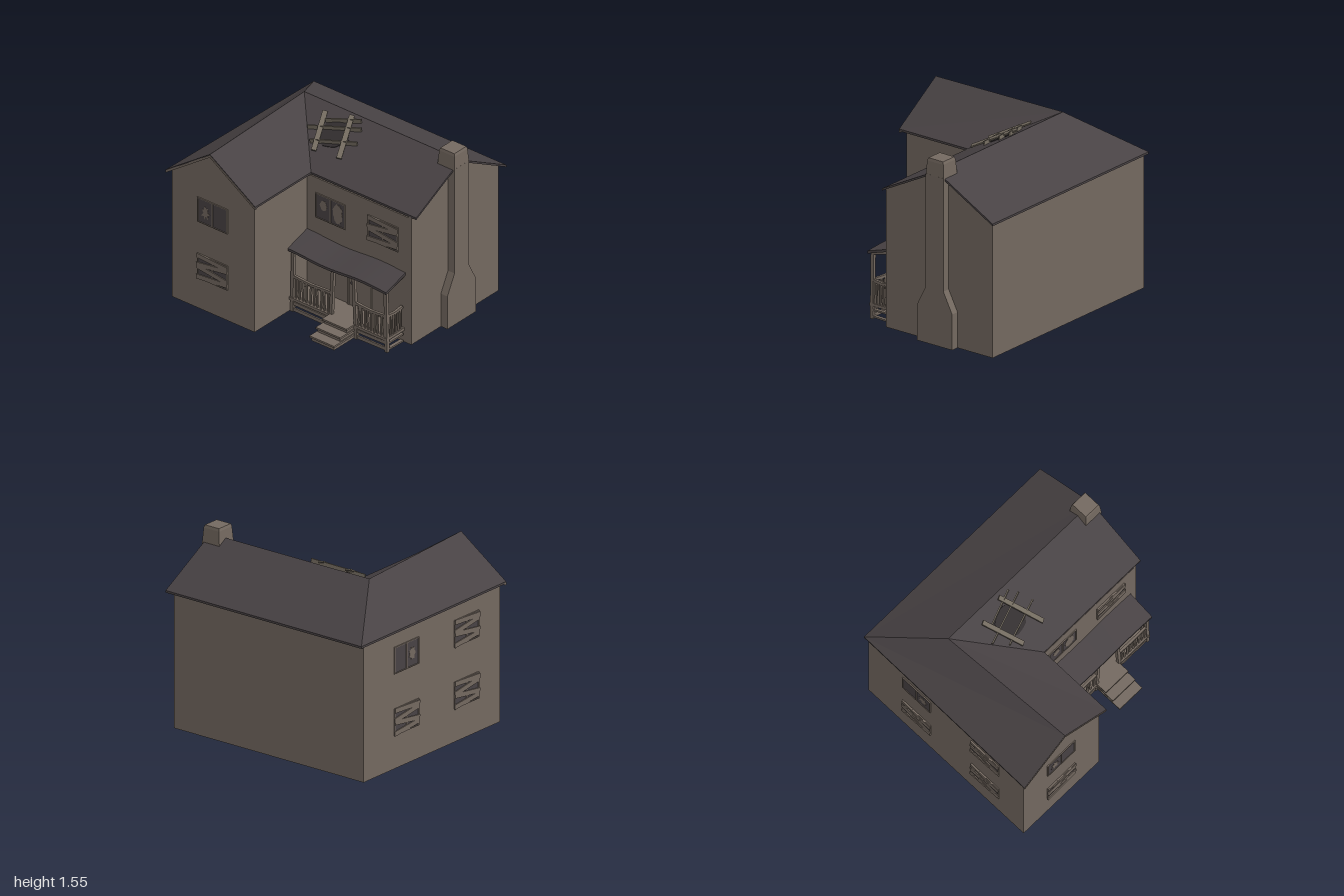
import * as THREE from 'three';

const wall = new THREE.MeshStandardMaterial({ color: 0x746960 });
wall.name = 'weathered brown';
const dark = new THREE.MeshStandardMaterial({ color: 0x484244 });
dark.name = 'dark slate';
const plank = new THREE.MeshStandardMaterial({ color: 0x736b5f });
plank.name = 'plank wood';
const black = new THREE.MeshStandardMaterial({ color: 0x332f30 });
black.name = 'hole black';

let seed = 7;
const rnd = () => (seed = (seed * 16807) % 2147483647) / 2147483647;

function add(parent, name, geo, mat, x = 0, y = 0, z = 0) {
  const m = new THREE.Mesh(geo, mat);
  m.name = name;
  m.position.set(x, y, z);
  parent.add(m);
  return m;
}

// box given by its min and max corners
function box(parent, name, mat, x0, x1, y0, y1, z0, z1) {
  return add(parent, name, new THREE.BoxGeometry(x1 - x0, y1 - y0, z1 - z0), mat,
    (x0 + x1) / 2, (y0 + y1) / 2, (z0 + z1) / 2);
}

// beam between two points
function beam(parent, name, mat, a, b, w, d) {
  const p = new THREE.Vector3(...a), q = new THREE.Vector3(...b);
  const m = add(parent, name, new THREE.BoxGeometry(w, p.distanceTo(q), d), mat);
  m.position.copy(p).add(q).multiplyScalar(0.5);
  m.quaternion.setFromUnitVectors(new THREE.Vector3(0, 1, 0), q.sub(p).normalize());
  return m;
}

// sloping slab: outline counter-clockwise from above, thickened downwards
function slab(parent, name, mat, pts, t) {
  const low = pts.map(([x, y, z]) => [x, y - t, z]);
  const pos = [];
  const tri = (...v) => v.forEach(p => pos.push(...p));
  for (let i = 1; i < pts.length - 1; i++) {
    tri(pts[0], pts[i], pts[i + 1]);
    tri(low[0], low[i + 1], low[i]);
  }
  pts.forEach((p, i) => {
    const j = (i + 1) % pts.length;
    tri(p, low[i], low[j]);
    tri(p, low[j], pts[j]);
  });
  const g = new THREE.BufferGeometry();
  g.setAttribute('position', new THREE.Float32BufferAttribute(pos, 3));
  g.computeVertexNormals();
  return add(parent, name, g, mat);
}

function extrude(points, depth) {
  const s = new THREE.Shape(points.map(p => new THREE.Vector2(...p)));
  return new THREE.ExtrudeGeometry(s, { depth, bevelEnabled: false });
}

// jagged outline used for broken glass and the roof hole
function jagged(rx, ry, n, rough) {
  return Array.from({ length: n }, (_, i) => {
    const a = i / n * Math.PI * 2, r = i % 2 ? 1 - rough * (0.5 + rnd() * 0.5) : 1 - rnd() * 0.2;
    return [Math.cos(a) * rx * r, Math.sin(a) * ry * r];
  });
}

// two-pane window facing +z; breaks = [x, y, rx, ry, points, roughness]
function makeWindow(breaks, boarded) {
  const g = new THREE.Group();
  g.name = boarded ? 'boardedWindow' : 'brokenWindow';
  box(g, 'glass', dark, -0.145, 0.145, -0.105, 0.105, -0.002, 0.004);
  for (const x of [-0.148, 0, 0.148]) box(g, 'frameUpright', wall, x - 0.005, x + 0.005, -0.108, 0.108, 0, 0.009);
  for (const y of [-0.108, 0.108]) box(g, 'frameBar', wall, -0.153, 0.153, y - 0.004, y + 0.004, 0, 0.009);
  for (const [x, y, rx, ry, n, rough] of breaks)
    add(g, 'glassHole', extrude(jagged(rx, ry, n, rough), 0.003), wall, x, y, 0.003);
  if (boarded)
    [[0.088, -0.06], [0.035, 0.14], [-0.022, -0.13], [-0.082, 0.09]].forEach(([y, a], i) => {
      const b = add(g, 'board', new THREE.BoxGeometry(0.31, 0.04, 0.008), wall, i % 2 ? -0.003 : 0.003, y, 0.011);
      b.rotation.z = a;
    });
  return g;
}

function place(parent, win, x, y, z, turn = 0) {
  win.position.set(x, y, z);
  win.rotation.y = turn;
  parent.add(win);
}

// porch roof sag along x
const sag = x => -0.01 * (1 - Math.cos((x + 0.13) * Math.PI * 2 / 0.75));

function makePorch() {
  const g = new THREE.Group();
  g.name = 'porch';
  const roof = new THREE.BoxGeometry(1, 0.022, 0.235, 12, 1, 1).translate(0.37, 0, 0.3275);
  const p = roof.attributes.position;
  for (let i = 0; i < p.count; i++)
    p.setY(i, p.getY(i) + 0.64 - (p.getZ(i) - 0.21) * 0.31 + sag(p.getX(i)));
  roof.computeVertexNormals();
  add(g, 'porchRoof', roof, dark);

  box(g, 'deck', wall, -0.13, 0.86, 0.105, 0.13, 0.21, 0.43);
  // front beam follows the sag
  for (let i = 0; i < 6; i++) {
    const a = -0.12 + i * 0.16, b = a + 0.16;
    beam(g, 'frontBeam', wall, [a, 0.557 + sag(a), 0.415], [b, 0.557 + sag(b), 0.415], 0.025, 0.02);
  }
  beam(g, 'sideBeam', wall, [0.845, 0.6, 0.21], [0.845, 0.545, 0.42], 0.02, 0.025);

  // posts
  for (const [a, b] of [[-0.11, -0.1], [0.28, 0.305], [0.54, 0.515], [0.85, 0.84]])
    beam(g, 'post', wall, [a, 0.0, 0.41], [b, 0.56 + sag(b), 0.41], 0.028, 0.028);

  // railings with crooked balusters, and skirting boards below the deck
  const rails = [[[-0.1, 0.41], [0.28, 0.41], 10], [[0.54, 0.41], [0.845, 0.41], 9], [[0.845, 0.41], [0.845, 0.22], 6]];
  for (const [[x0, z0], [x1, z1], n] of rails) {
    const at = (t, y) => [x0 + (x1 - x0) * t, y, z0 + (z1 - z0) * t];
    const h = t => 0.322 - 0.012 * Math.sin(t * Math.PI);
    for (const [a, b] of [[0, 0.5], [0.5, 1]]) beam(g, 'handRail', wall, at(a, h(a)), at(b, h(b)), 0.022, 0.022);
    for (let i = 0; i < n; i++) {
      const t = (i + 0.7) / (n + 0.4);
      beam(g, 'baluster', wall, at(t, 0.13), at(t + (rnd() - 0.5) * 0.07, h(t)), 0.016, 0.014);
    }
    for (const y of [0.02, 0.075])
      beam(g, 'skirtBoard', wall, at(0, y), at(1, y + (rnd() - 0.5) * 0.012), 0.03, 0.014);
  }

  // steps with overhanging treads
  [[0.13, 0.52], [0.088, 0.597], [0.045, 0.672]].forEach(([y, z]) => {
    box(g, 'riser', wall, 0.29, 0.52, 0, y - 0.014, 0.42, z - 0.012);
    box(g, 'tread', wall, 0.28, 0.53, y - 0.015, y + 0.001, 0.42, z);
  });

  // door
  box(g, 'door', wall, 0.31, 0.51, 0.13, 0.54, 0.205, 0.218);
  for (const x of [0.3, 0.52]) box(g, 'doorFrame', wall, x - 0.01, x + 0.01, 0.13, 0.55, 0.205, 0.224);
  box(g, 'doorHandle', dark, 0.33, 0.365, 0.335, 0.35, 0.218, 0.235);
  return g;
}

export function createModel() {
  const house = new THREE.Group();
  house.name = 'house';

  // L-shaped walls and the two gables
  const plan = [[-0.97, 0.85], [0.93, 0.85], [0.93, -0.21], [-0.13, -0.21], [-0.13, -0.85], [-0.97, -0.85]];
  add(house, 'walls', extrude(plan, 1.152).rotateX(-Math.PI / 2), wall);
  add(house, 'frontGable', extrude([[-0.97, 1.15], [-0.13, 1.15], [-0.13, 1.186], [-0.55, 1.46], [-0.97, 1.166]], 0.03), wall, 0, 0, 0.82);
  add(house, 'sideGable', extrude([[-0.21, 1.15], [0.85, 1.15], [0.33, 1.445], [-0.21, 1.165]], 0.03).rotateY(Math.PI / 2), wall, 0.9);

  // roof planes
  const A = [-0.98, 1.15, -0.89], B = [0.98, 1.15, -0.89], R1 = [-0.61, 1.462, -0.33], R2 = [0.98, 1.458, -0.33];
  const V = [-0.09, 1.18, 0.21], E = [0.98, 1.18, 0.21];
  const F = [-0.55, 1.482, 0.89], FL = [-1, 1.168, 0.89], FR = [-0.09, 1.18, 0.89];
  slab(house, 'roofBack', dark, [A, R1, R2, B], 0.018);
  slab(house, 'roofFront', dark, [R1, V, E, R2], 0.018);
  slab(house, 'roofLeft', dark, [A, FL, F, R1], 0.018);
  slab(house, 'roofWing', dark, [R1, F, FR, V], 0.018);
  // gable trim boards
  const trim = (p, z) => [p[0], p[1] - 0.008, z];
  slab(house, 'gableTrim', wall, [trim(FL, 0.87), trim(FL, 0.893), trim(F, 0.893), trim(F, 0.87)], 0.02);
  slab(house, 'gableTrim', wall, [trim(F, 0.87), trim(F, 0.893), trim(FR, 0.893), trim(FR, 0.87)], 0.02);

  // boarded hole in the roof
  const patch = new THREE.Group();
  patch.name = 'roofPatch';
  patch.position.set(-0.13, 1.352, -0.12);
  patch.rotation.x = Math.atan2(0.28, 0.54);
  add(patch, 'roofHole', extrude(jagged(0.15, 0.15, 14, 0.25), 0.006).rotateX(-Math.PI / 2), black);
  const lay = (x0, z0, x1, z1, y) => {
    const k = 1.126; // plan distance to slope distance
    beam(patch, 'patchBoard', plank, [x0 + 0.13, y, (z0 + 0.12) * k], [x1 + 0.13, y, (z1 + 0.12) * k], 0.042, 0.012);
  };
  lay(-0.27, -0.19, 0.01, -0.29, 0.012);
  lay(-0.37, -0.09, 0.06, -0.23, 0.012);
  lay(-0.27, 0.0, 0.11, -0.12, 0.012);
  lay(-0.32, -0.25, -0.18, 0.06, 0.024);
  lay(-0.09, -0.3, 0.06, 0.04, 0.024);
  house.add(patch);

  // chimney: flared shaft on the side wall and tapered top
  const shaft = [[0.15, 0], [0.5, 0], [0.5, 0.3], [0.413, 0.47], [0.413, 1.42], [0.237, 1.42], [0.237, 0.47], [0.15, 0.3]];
  add(house, 'chimneyShaft', extrude(shaft, 0.085).rotateY(Math.PI / 2), wall, 0.912);
  const cap = new THREE.BoxGeometry(0.172, 0.18, 0.178, 1, 3, 1);
  const p = cap.attributes.position;
  for (let i = 0; i < p.count; i++) {
    const row = Math.round((p.getY(i) + 0.09) / 0.06);
    const [y, s] = [[1.36, 1], [1.41, 1], [1.53, 0.9], [1.552, 0.82]][row];
    p.setXYZ(i, p.getX(i) * s, y, p.getZ(i) * s);
  }
  const capGeo = cap.toNonIndexed();
  capGeo.computeVertexNormals();
  add(house, 'chimneyTop', capGeo, wall, 0.911, 0, -0.325);

  // windows: front wing, main front, left side
  const left = -Math.PI / 2;
  place(house, makeWindow([[-0.07, -0.01, 0.05, 0.075, 14, 0.65]]), -0.555, 0.905, 0.85);
  place(house, makeWindow([], true), -0.555, 0.39, 0.85);
  place(house, makeWindow([[-0.068, 0.02, 0.042, 0.055, 12, 0.3], [0.075, 0, 0.056, 0.1, 22, 0.25]]), 0.11, 0.905, 0.21);
  place(house, makeWindow([], true), 0.645, 0.91, 0.21);
  place(house, makeWindow([[0.07, 0, 0.05, 0.075, 14, 0.6]]), -0.97, 0.905, -0.32, left);
  place(house, makeWindow([], true), -0.97, 0.905, 0.43, left);
  place(house, makeWindow([], true), -0.97, 0.39, -0.32, left);
  place(house, makeWindow([], true), -0.97, 0.39, 0.43, left);

  house.add(makePorch());
  return house;
}
